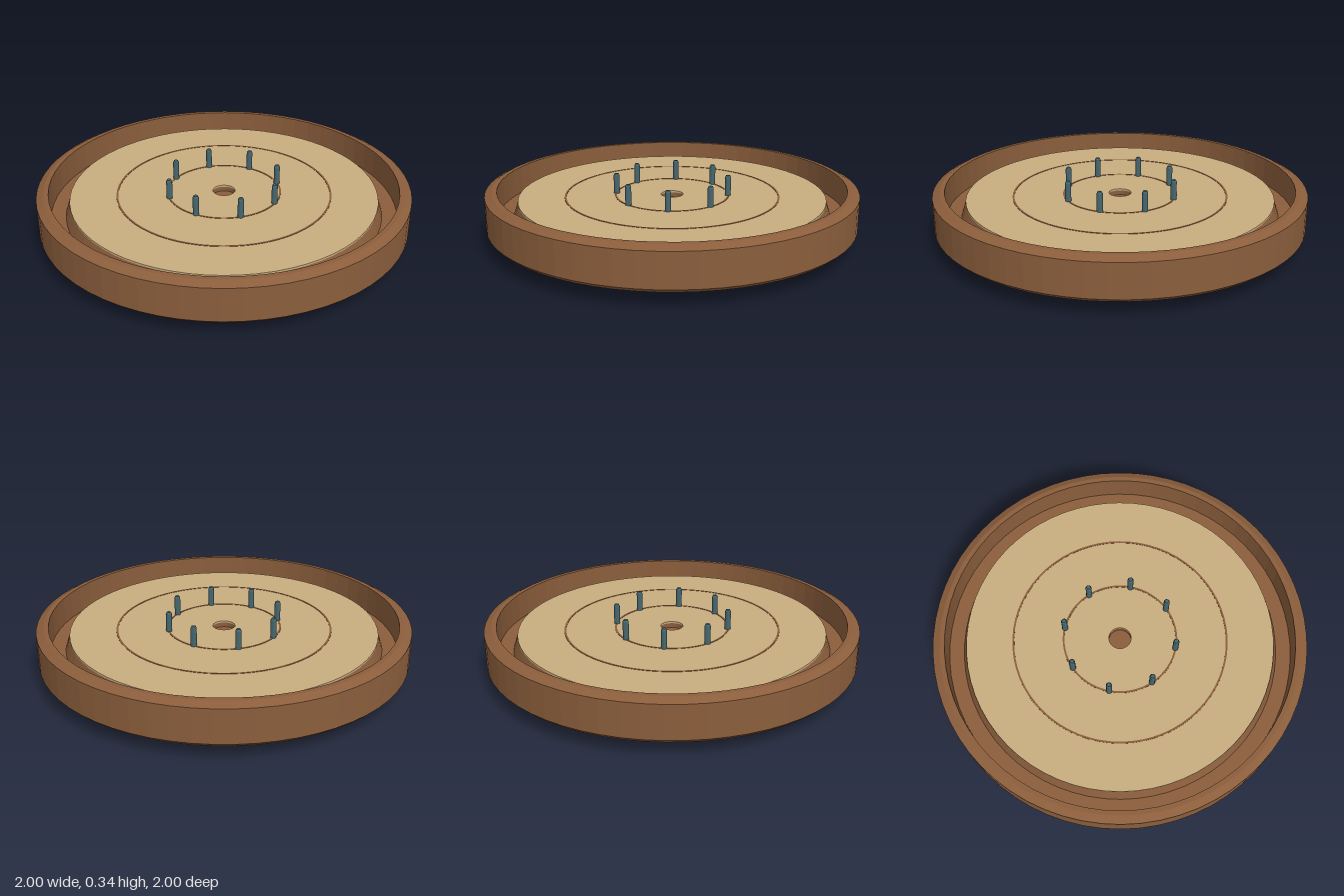
import * as THREE from 'three';

const wood = new THREE.MeshStandardMaterial({ color: 0x8b5e3c, flatShading: true });
const pale = new THREE.MeshStandardMaterial({ color: 0xc8ad7f, flatShading: true });
const steel = new THREE.MeshStandardMaterial({ color: 0x466770, flatShading: true });

function add(parent, name, geometry, material, x = 0, y = 0, z = 0) {
  const mesh = new THREE.Mesh(geometry, material);
  mesh.name = name;
  mesh.position.set(x, y, z);
  parent.add(mesh);
  return mesh;
}

function lathe(points, segments = 64) {
  return new THREE.LatheGeometry(points.map(([r, y]) => new THREE.Vector2(r, y)), segments);
}

export function createModel() {
  const model = new THREE.Group();
  model.name = 'roundTray';

  // Tray: bevelled rim, sunken channel, raised sloping pedestal, centre hole
  add(model, 'tray', lathe([
    [0, 0.08], [0.98, 0.08], [1, 0.1], [1, 0.28], [0.96, 0.3], [0.935, 0.3],
    [0.935, 0.15], [0.855, 0.15], [0.83, 0.225], [0.06, 0.225], [0.06, 0.2], [0, 0.2],
  ]), wood);

  // Pale top plate with centre hole
  add(model, 'plate', lathe([
    [0.06, 0.225], [0.83, 0.225], [0.83, 0.235], [0.06, 0.235], [0.06, 0.225],
  ]), pale);

  // Thin inlaid rings
  for (const r of [0.305, 0.577]) {
    add(model, 'inlayRing', lathe([
      [r + 0.005, 0.234], [r + 0.005, 0.237], [r - 0.005, 0.237], [r - 0.005, 0.234],
    ]), wood);
  }

  // Eight pins with bevelled tips, standing on the inner ring
  const pinShape = lathe([[0, 0], [0.016, 0], [0.016, 0.11], [0.011, 0.12], [0, 0.12]], 12);
  for (let i = 0; i < 8; i++) {
    const a = (i + 0.5) * Math.PI / 4;
    add(model, 'pin', pinShape, steel, 0.303 * Math.cos(a), 0.225, 0.303 * Math.sin(a));
  }

  // Three feet, one at the front
  const footShape = new THREE.CylinderGeometry(0.093, 0.093, 0.09, 24);
  for (let i = 0; i < 3; i++) {
    const a = i * Math.PI * 2 / 3;
    add(model, 'foot', footShape, steel, 0.626 * Math.sin(a), 0.045, 0.626 * Math.cos(a));
  }

  return model;
}
